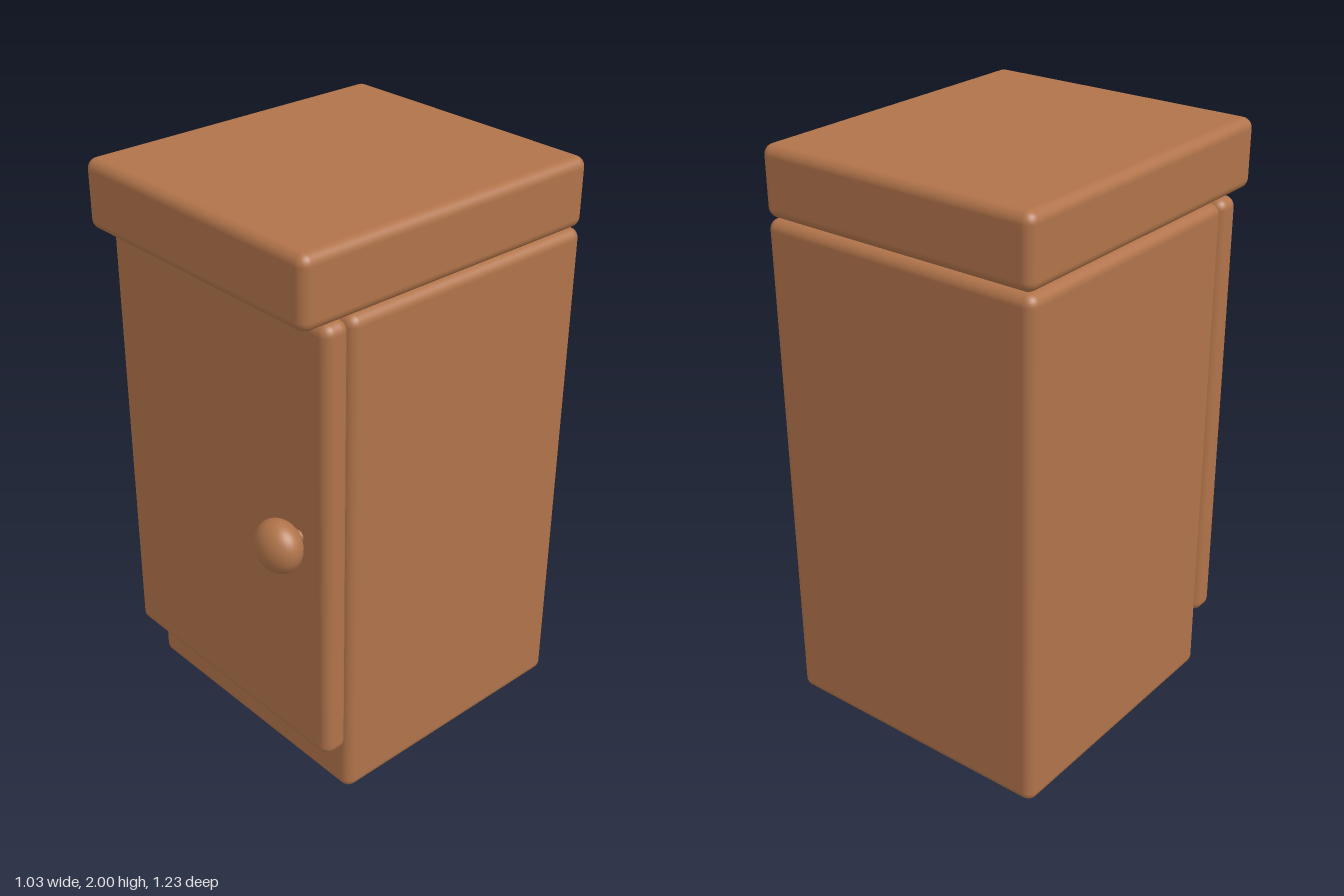
import * as THREE from 'three';
import { RoundedBoxGeometry } from 'three/addons/geometries/RoundedBoxGeometry.js';

export function createModel() {
  const group = new THREE.Group();
  group.name = 'bedsideCabinet';
  const wood = new THREE.MeshStandardMaterial({ color: 0xb0734a });
  wood.name = 'warm wood';

  const add = (name, geometry, x, y, z) => {
    const mesh = new THREE.Mesh(geometry, wood);
    mesh.name = name;
    mesh.position.set(x, y, z);
    group.add(mesh);
    return mesh;
  };

  // Rounded panel given by its extents
  const panel = (name, [x0, x1], [y0, y1], [z0, z1], radius) =>
    add(name, new RoundedBoxGeometry(x1 - x0, y1 - y0, z1 - z0, 4, radius),
      (x0 + x1) / 2, (y0 + y1) / 2, (z0 + z1) / 2);

  panel('body', [-0.514, 0.511], [0.005, 1.765], [-0.612, 0.37], 0.035);
  panel('door', [-0.512, 0.511], [0.207, 1.765], [0.37, 0.465], 0.035);
  panel('top', [-0.51, 0.511], [1.768, 2], [-0.612, 0.548], 0.035);

  // Flattened round knob on a short stem
  const stem = add('knobStem', new THREE.CylinderGeometry(0.02, 0.02, 0.08, 20), 0.388, 1.028, 0.48);
  stem.rotation.x = Math.PI / 2;
  const knob = add('knob', new THREE.SphereGeometry(0.087, 32, 20), 0.388, 1.028, 0.547);
  knob.scale.z = 0.77;

  return group;
}
